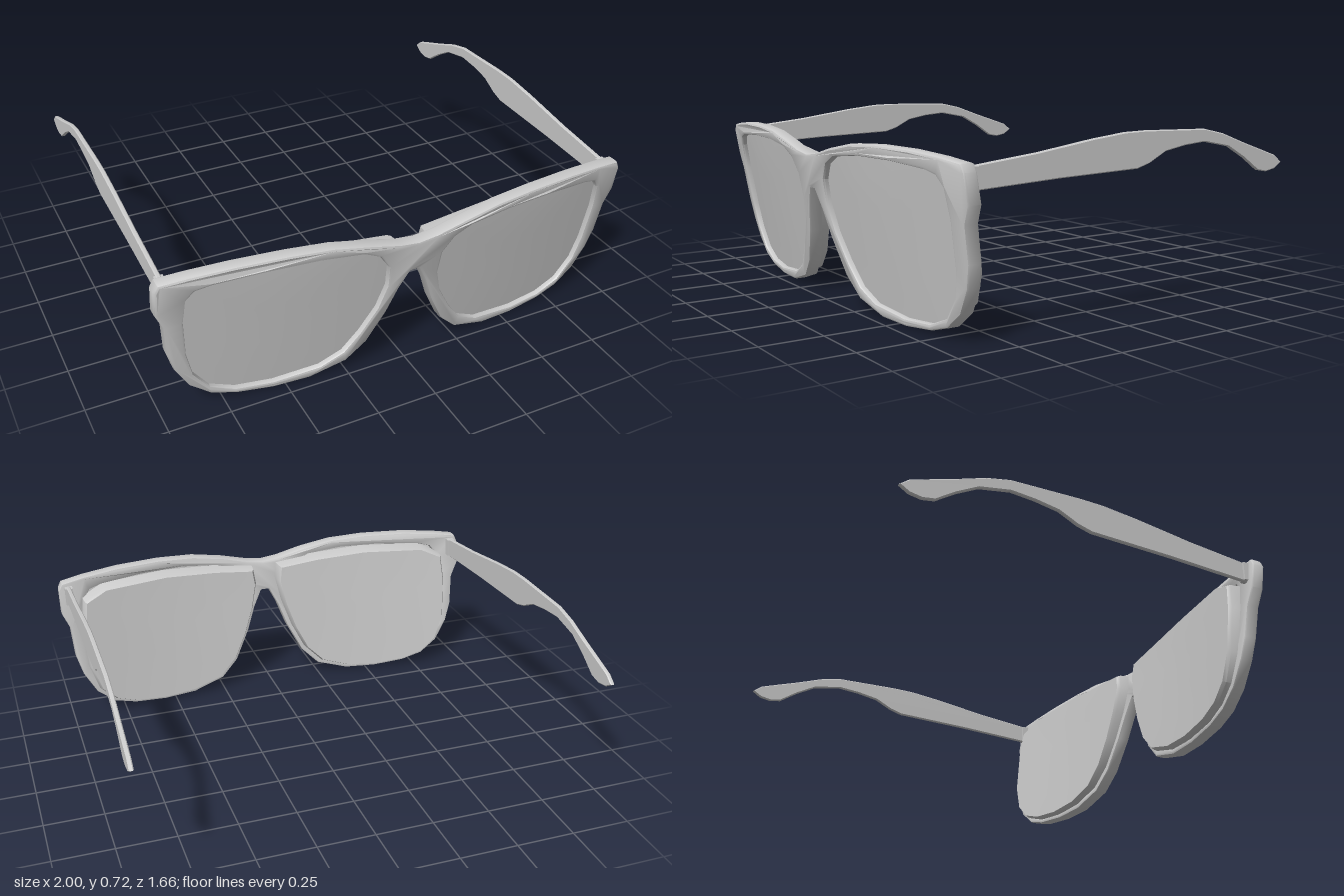
import * as THREE from 'three';
import { toCreasedNormals } from 'three/addons/utils/BufferGeometryUtils.js';

const material = new THREE.MeshStandardMaterial({ color: 0xcccccc, side: THREE.DoubleSide });

// Front surface of the glasses: wraps back at the sides and leans back at the bottom
const surfaceZ = (x, y) => 0.83 - 0.1 * x * x - 0.17 * Math.max(0, 0.62 - y);

const mirrorPoints = (pts) => pts.map(([x, y]) => [-x, y]).reverse();
const toVectors = (pts) => pts.map(([x, y]) => new THREE.Vector2(x, y));

// Right half of the frame outline, from bridge top round to bridge bottom
const frameHalf = [
  [0.08, 0.61], [0.2, 0.64], [0.35, 0.668], [0.52, 0.678], [0.72, 0.676], [0.88, 0.664],
  [0.985, 0.65], [1, 0.62], [1, 0.51], [0.97, 0.44], [0.96, 0.3], [0.935, 0.21],
  [0.88, 0.11], [0.8, 0.045], [0.7, 0.015], [0.55, 0], [0.4, 0.005], [0.25, 0.05],
  [0.17, 0.13], [0.1, 0.27], [0.06, 0.38], [0.02, 0.46],
];

// Lens opening, counter-clockwise
const opening = [
  [0.16, 0.575], [0.115, 0.51], [0.11, 0.41], [0.14, 0.3], [0.2, 0.19], [0.265, 0.1],
  [0.36, 0.05], [0.55, 0.03], [0.7, 0.04], [0.8, 0.08], [0.865, 0.17], [0.89, 0.28],
  [0.9, 0.45], [0.89, 0.56], [0.86, 0.6], [0.8, 0.615], [0.6, 0.628], [0.4, 0.628], [0.23, 0.61],
];

// Outer edge of the thick rear lens body, counter-clockwise
const rearEdge = [
  [0.06, 0.59], [0.05, 0.52], [0.075, 0.4], [0.12, 0.27], [0.18, 0.15], [0.26, 0.07],
  [0.4, 0.025], [0.55, 0.015], [0.7, 0.03], [0.8, 0.065], [0.87, 0.13], [0.91, 0.25],
  [0.915, 0.45], [0.9, 0.57], [0.8, 0.615], [0.5, 0.625], [0.25, 0.61],
];

// Joins scaled copies of an outline; each ring is [scale, depth behind the front surface]
function loftRings(outline, rings, cx) {
  const cy = 0.34;
  const n = outline.length;
  const positions = [];
  const index = [];
  for (const [scale, depth] of rings) {
    for (const [px, py] of outline) {
      const x = cx + (px - cx) * scale;
      const y = cy + (py - cy) * scale;
      positions.push(x, y, surfaceZ(x, y) - depth - (depth > 0.08 ? 0.05 * (y - 0.18) : 0));
    }
  }
  for (let r = 0; r < rings.length - 1; r++) {
    for (let i = 0; i < n; i++) {
      const a = r * n + i;
      const b = r * n + (i + 1) % n;
      index.push(a, a + n, b, b, a + n, b + n);
    }
  }
  const geometry = new THREE.BufferGeometry();
  geometry.setAttribute('position', new THREE.Float32BufferAttribute(positions, 3));
  geometry.setIndex(index);
  return toCreasedNormals(geometry, 0.6);
}

function addMesh(parent, name, geometry) {
  const mesh = new THREE.Mesh(geometry, material);
  mesh.name = name;
  parent.add(mesh);
  return mesh;
}

// Flat frame with two openings, bent onto the front surface
function frameGeometry() {
  const shape = new THREE.Shape(toVectors([[0, 0.6], ...frameHalf, [0, 0.46], ...mirrorPoints(frameHalf)]));
  shape.holes.push(new THREE.Path(toVectors(opening)), new THREE.Path(toVectors(mirrorPoints(opening))));
  const geometry = new THREE.ExtrudeGeometry(shape, {
    depth: 0.04, steps: 1, bevelEnabled: true, bevelThickness: 0.01,
    bevelSize: 0.01, bevelOffset: -0.01, bevelSegments: 2,
  });
  const p = geometry.attributes.position;
  for (let i = 0; i < p.count; i++) {
    p.setZ(i, p.getZ(i) - 0.05 + surfaceZ(p.getX(i), p.getY(i)));
  }
  return toCreasedNormals(geometry, 0.6);
}

// Temple arm, drawn in side profile as [z, y]
function templeGeometry() {
  const top = [[0.69, 0.635], [0.4, 0.665], [0.15, 0.7], [0, 0.716], [-0.1, 0.718], [-0.4, 0.71],
    [-0.5, 0.688], [-0.62, 0.645], [-0.72, 0.612], [-0.8, 0.585], [-0.838, 0.555]];
  const bottom = [[-0.8, 0.53], [-0.75, 0.521], [-0.7, 0.53], [-0.62, 0.585], [-0.53, 0.635],
    [-0.4, 0.66], [-0.3, 0.652], [-0.2, 0.635], [-0.12, 0.595], [-0.06, 0.578], [0.3, 0.568], [0.69, 0.55]];
  const geometry = new THREE.ExtrudeGeometry(new THREE.Shape(toVectors([...top, ...bottom])), {
    depth: 0.01, bevelEnabled: true, bevelThickness: 0.004,
    bevelSize: 0.004, bevelOffset: -0.004, bevelSegments: 1,
  });
  geometry.translate(0, 0, -0.005).rotateY(-Math.PI / 2);
  return toCreasedNormals(geometry, 0.6);
}

export function createModel() {
  const model = new THREE.Group();
  model.name = 'sunglasses';
  addMesh(model, 'frontFrame', frameGeometry());

  const temple = templeGeometry();
  for (const [side, label] of [[1, 'left'], [-1, 'right']]) {
    const cx = 0.5 * side;
    const lensOutline = side > 0 ? opening : mirrorPoints(opening);
    const rearOutline = side > 0 ? rearEdge : mirrorPoints(rearEdge);

    // Dark glass seen through the opening
    addMesh(model, label + 'Lens', loftRings(lensOutline,
      [[0, 0.025], [0.35, 0.025], [0.7, 0.025], [1.015, 0.025]], cx));

    // Rear lens body: side wall, then closed back
    addMesh(model, label + 'LensBack', loftRings(rearOutline,
      [[1, 0.045], [0.985, 0.085], [0.965, 0.1], [0.65, 0.1], [0.3, 0.1], [0, 0.1]], cx));

    // Temple arm and hinge
    addMesh(model, label + 'Temple', temple).position.x = 0.957 * side;
    addMesh(model, label + 'Hinge', new THREE.BoxGeometry(0.035, 0.08, 0.05))
      .position.set(0.957 * side, 0.595, 0.672);
  }
  return model;
}
